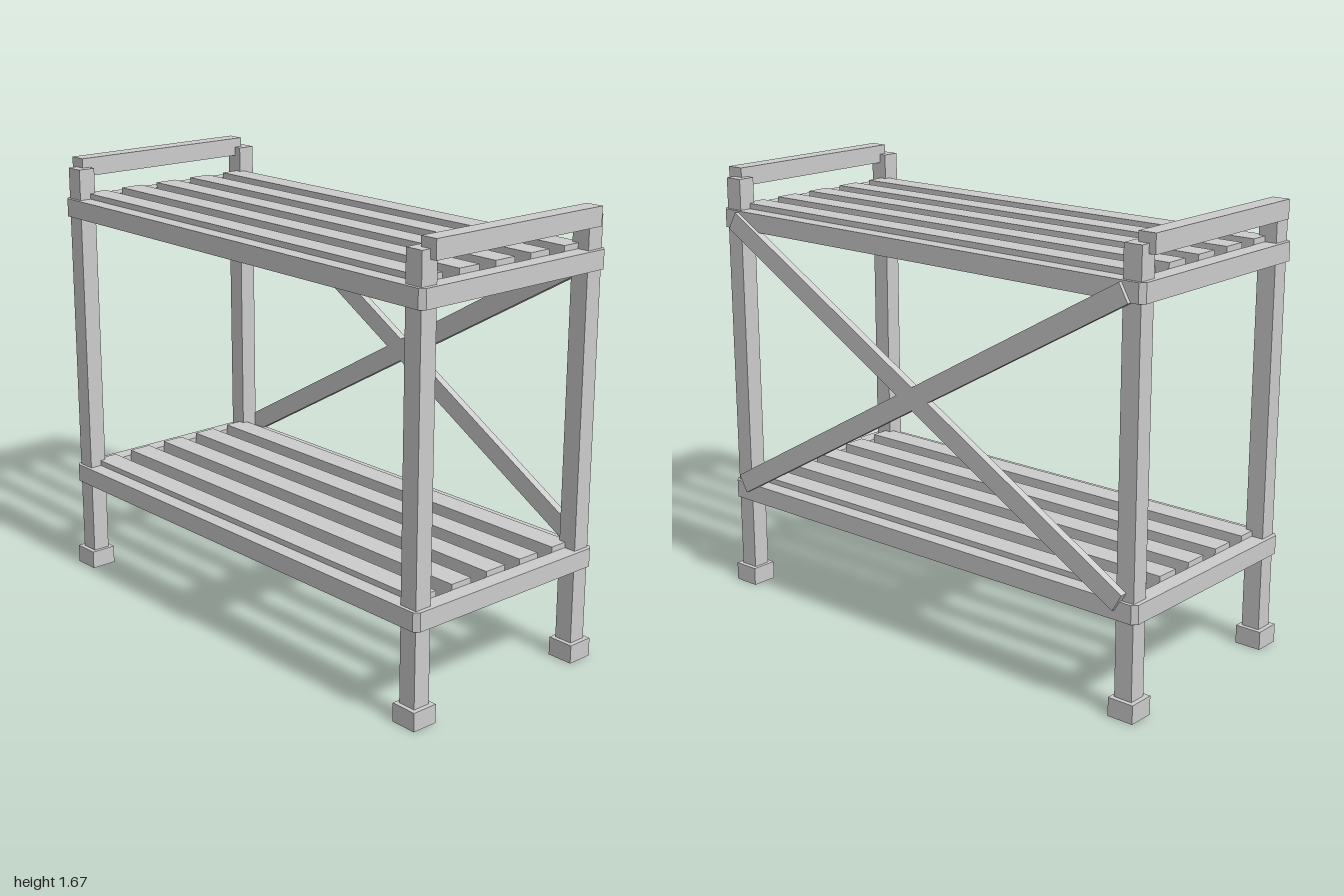
import * as THREE from 'three';

export function createModel() {
  const model = new THREE.Group();
  const mat = new THREE.MeshStandardMaterial({ color: 0xcccccc, flatShading: true });
  const midZ = 0.006; // the rear braces shift the body slightly forward

  const add = (name, geometry, x, y, z) => {
    const mesh = new THREE.Mesh(geometry, mat);
    mesh.name = name;
    mesh.position.set(x, y, z);
    model.add(mesh);
    return mesh;
  };
  const box = (name, w, h, d, x, y, z) => add(name, new THREE.BoxGeometry(w, h, d), x, y, z);

  // Posts with square feet
  for (const sx of [-1, 1]) {
    for (const sz of [-1, 1]) {
      const z = midZ + sz * 0.394;
      box('post', 0.072, 1.636, 0.068, sx * 0.935, 0.818, z);
      box('foot', 0.103, 0.07, 0.102, sx * 0.937, 0.035, z);
    }
    // Side handle resting against the post tops
    box('handle', 0.068, 0.07, 0.784, sx * 0.963, 1.637, midZ);
  }

  // Shelf frame: rectangular ring with slightly bevelled corners
  const W = 0.988, D = 0.441, c = 0.018, t = 0.063;
  const ring = new THREE.Shape([
    [-W + c, -D], [W - c, -D], [W, -D + c], [W, D - c],
    [W - c, D], [-W + c, D], [-W, D - c], [-W, -D + c],
  ].map(([x, y]) => new THREE.Vector2(x, y)));
  ring.holes.push(new THREE.Path([
    [-W + t, -D + t], [-W + t, D - t], [W - t, D - t], [W - t, -D + t],
  ].map(([x, y]) => new THREE.Vector2(x, y))));

  // Two shelves of deep slats standing slightly proud of their frames
  for (const y of [0.357, 1.448]) {
    const frame = new THREE.ExtrudeGeometry(ring, { depth: 0.07, bevelEnabled: false });
    frame.rotateX(-Math.PI / 2);
    add('shelfFrame', frame, 0, y, midZ);
    for (let i = -2; i <= 2; i++) {
      box('slat', 1.85, 0.07, 0.092, 0, y + 0.056, midZ + i * 0.168);
    }
  }

  // Crossed braces on the back
  for (const s of [-1, 1]) {
    const brace = box('backBrace', 2.122, 0.075, 0.03, 0, 0.953, -0.434);
    brace.rotation.z = s * 0.52;
  }

  return model;
}
